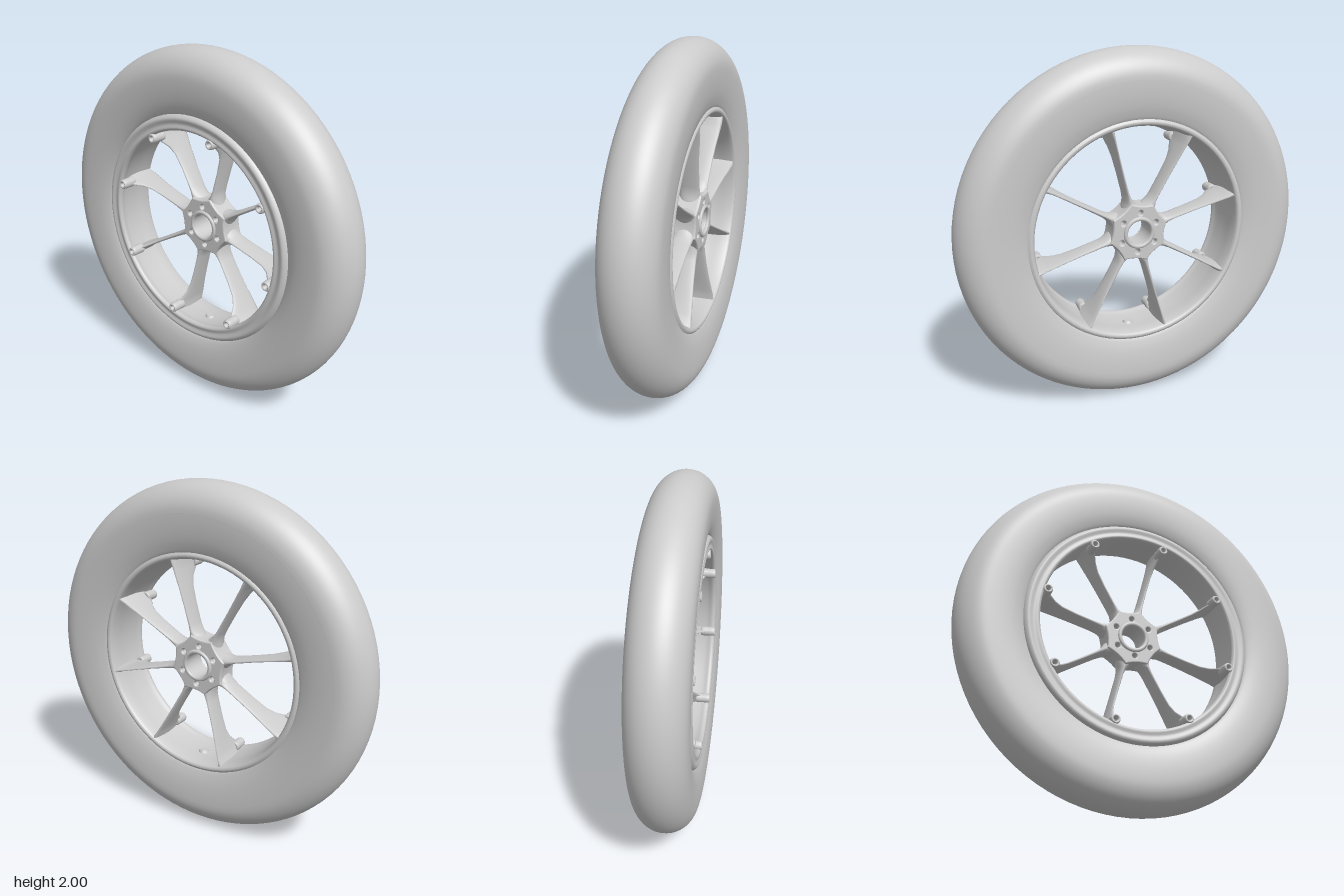
import * as THREE from 'three';

const material = new THREE.MeshStandardMaterial({ color: 0xcccccc, side: THREE.DoubleSide });
const SPOKES = 8;
const spokeAngle = (i) => Math.PI / 6 + (i * Math.PI * 2) / SPOKES;

function add(parent, name, geometry) {
  const mesh = new THREE.Mesh(geometry, material);
  mesh.name = name;
  parent.add(mesh);
  return mesh;
}

// Closed ring about z from [radius, z] points, counterclockwise, rounded by a spline
function ring(points, steps, segments = 80) {
  const curve = new THREE.CatmullRomCurve3(points.map(([r, z]) => new THREE.Vector3(r, z, 0)), true, 'centripetal');
  const profile = curve.getPoints(steps).map((p) => new THREE.Vector2(p.x, p.y));
  return new THREE.LatheGeometry(profile, segments).rotateX(Math.PI / 2);
}

// Blade along +x lofted through oval sections [radius, back z, front z, half thickness]
function blade(sections, sides = 16) {
  const positions = [];
  const index = [];
  sections.forEach(([r, back, front, half], j) => {
    for (let i = 0; i < sides; i++) {
      const a = (i / sides) * Math.PI * 2;
      positions.push(r, half * Math.cos(a), (back + front) / 2 + ((front - back) / 2) * Math.sin(a));
      if (j === 0) continue;
      const k = (i + 1) % sides;
      const a0 = (j - 1) * sides + i, a1 = (j - 1) * sides + k;
      const b0 = j * sides + i, b1 = j * sides + k;
      index.push(a0, a1, b0, a1, b1, b0);
    }
  });
  const geometry = new THREE.BufferGeometry();
  geometry.setAttribute('position', new THREE.Float32BufferAttribute(positions, 3));
  geometry.setIndex(index);
  geometry.computeVertexNormals();
  return geometry;
}

// Hub outline: corners at the spokes, hollowed sides between them
function hubGeometry() {
  const shape = new THREE.Shape();
  const at = (r, a) => [r * Math.cos(a), r * Math.sin(a)];
  shape.moveTo(...at(0.17, spokeAngle(0)));
  for (let i = 0; i < SPOKES; i++) {
    const a = spokeAngle(i);
    shape.quadraticCurveTo(...at(0.14, a + Math.PI / SPOKES), ...at(0.17, a + (Math.PI * 2) / SPOKES));
  }
  const hole = (x, y, r) => shape.holes.push(new THREE.Path().absarc(x, y, r, 0, Math.PI * 2, true));
  hole(0, 0, 0.073);
  for (let i = 0; i < 6; i++) hole(...at(0.112, Math.PI / 2 + 0.08 + (i * Math.PI) / 3), 0.017);
  return new THREE.ExtrudeGeometry(shape, {
    depth: 0.11, bevelThickness: 0.012, bevelSize: 0.008, bevelOffset: -0.004, bevelSegments: 3, curveSegments: 16,
  }).translate(0, 0, -0.095);
}

export function createModel() {
  const model = new THREE.Group();
  model.name = 'wheel';
  const wheel = new THREE.Group();
  wheel.name = 'wheelAssembly';
  wheel.position.y = 1;
  model.add(wheel);

  // Tyre: round tread with sidewalls drawn in to the rim
  const tread = [];
  for (let i = 0; i <= 12; i++) {
    const a = -Math.PI / 2 + (i / 12) * Math.PI;
    tread.push([0.843 + 0.157 * Math.cos(a), 0.157 * Math.sin(a)]);
  }
  add(wheel, 'tyre', ring([
    ...tread, [0.76, 0.153], [0.69, 0.138], [0.65, 0.115], [0.645, 0.05],
    [0.635, -0.05], [0.622, -0.115], [0.67, -0.138], [0.75, -0.153],
  ], 80, 96));

  // Rim: barrel with a broad front lip and a thin rear lip
  add(wheel, 'rim', ring([
    [0.62, -0.133], [0.645, -0.11], [0.66, 0], [0.656, 0.12], [0.635, 0.142], [0.605, 0.136],
    [0.58, 0.14], [0.568, 0.125], [0.578, 0.09], [0.588, 0], [0.592, -0.09], [0.603, -0.128],
  ], 60));

  // Hub with bolt holes, and a collar at each end of the bore
  add(wheel, 'hub', hubGeometry());
  for (const [name, z] of [['frontCollar', 0.026], ['rearCollar', -0.107]]) {
    add(wheel, name, new THREE.TorusGeometry(0.08, 0.012, 10, 40)).position.z = z;
  }

  // Spokes: thin deep blades that flare forward to a boss on the front lip
  const spokeShape = blade([
    [0.13, -0.1, 0.02, 0.05], [0.165, -0.1, 0.02, 0.034], [0.19, -0.1, 0.018, 0.02], [0.23, -0.1, 0.015, 0.014],
    [0.34, -0.105, 0.015, 0.012], [0.43, -0.112, 0.022, 0.011], [0.48, -0.118, 0.045, 0.011],
    [0.53, -0.124, 0.095, 0.012], [0.56, -0.127, 0.12, 0.015], [0.6, -0.128, 0.125, 0.024],
  ]);
  const bossShape = ring([
    [0.012, 0.06], [0.026, 0.06], [0.028, 0.1], [0.026, 0.14], [0.02, 0.145], [0.013, 0.14], [0.011, 0.1],
  ], 28, 20);
  for (let i = 0; i < SPOKES; i++) {
    const arm = new THREE.Group();
    arm.name = 'spoke' + (i + 1);
    arm.rotation.z = spokeAngle(i);
    add(arm, 'spokeBlade', spokeShape);
    add(arm, 'spokeBoss', bossShape).position.x = 0.553;
    wheel.add(arm);
  }

  // Valve seat on the inside of the barrel
  const valve = add(wheel, 'valveSeat', new THREE.CylinderGeometry(0.022, 0.034, 0.02, 16));
  valve.position.set(0.03, -0.583, 0);
  return model;
}
